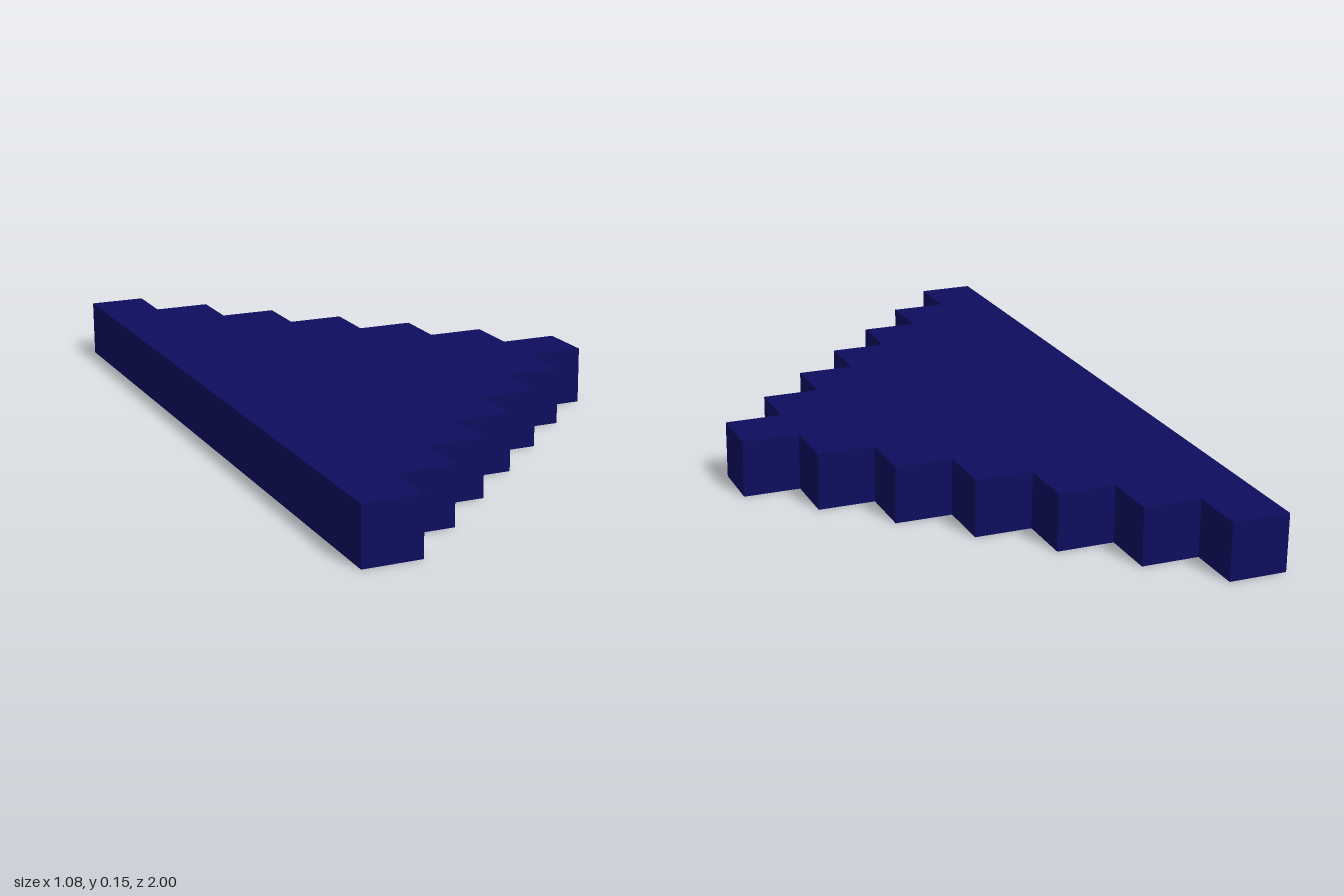
import * as THREE from 'three';

const COLUMNS = 7;
const CELL = 2 / (2 * COLUMNS - 1); // longest column spans 2 units

export function createModel() {
  const navy = new THREE.MeshStandardMaterial({ color: 0x0d0d5e });
  navy.name = 'navy';

  // Stepped triangle outline: each column is one cell shorter at both ends
  const left = -COLUMNS * CELL / 2;
  const steps = [];
  for (let i = 0; i < COLUMNS; i++) {
    const half = (COLUMNS - i - 0.5) * CELL;
    steps.push([left + i * CELL, half], [left + (i + 1) * CELL, half]);
  }
  const mirrored = steps.map(([x, y]) => [x, -y]);
  const outline = [...mirrored, ...steps.reverse()].map(([x, y]) => new THREE.Vector2(x, y));

  // Slab one cell thick, laid flat on the ground
  const geometry = new THREE.ExtrudeGeometry(new THREE.Shape(outline), { depth: CELL, bevelEnabled: false });
  geometry.rotateX(-Math.PI / 2);
  const slab = new THREE.Mesh(geometry, navy);
  slab.name = 'steppedSlab';

  const group = new THREE.Group();
  group.name = 'steppedTriangle';
  group.add(slab);
  return group;
}
